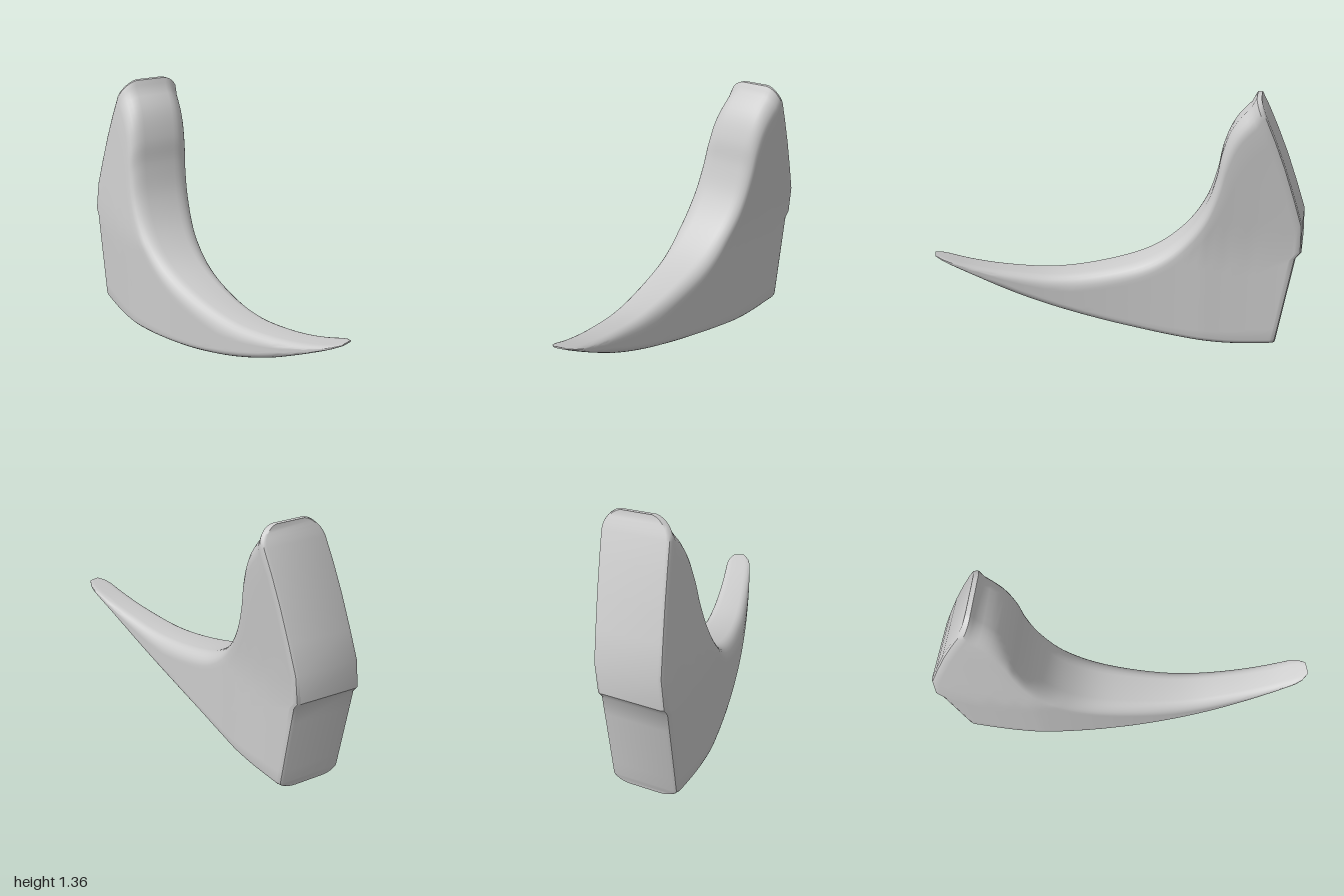
import * as THREE from 'three';
import { toCreasedNormals } from 'three/addons/utils/BufferGeometryUtils.js';

const curve = (pts) => new THREE.CatmullRomCurve3(pts.map(([x, y]) => new THREE.Vector3(x, y, 0)));

// Concave inner edge and convex outer edge, both running from base to tip
const inner = curve([[-0.665, 1.365], [-0.55, 1.22], [-0.497, 1.07], [-0.475, 0.93], [-0.425, 0.76], [-0.325, 0.6],
  [-0.17, 0.475], [0.06, 0.395], [0.35, 0.355], [0.6, 0.375], [0.8, 0.415], [1, 0.478]]);
const outer = curve([[-0.815, 0.02], [-0.74, 0.012], [-0.65, 0.004], [-0.56, 0], [-0.44, 0.005], [-0.28, 0.023],
  [-0.1, 0.053], [0.12, 0.1], [0.37, 0.172], [0.6, 0.26], [0.8, 0.36], [1, 0.47]]);

// Profile of the base wall with its overhanging lip: [height fraction, x]
const wall = [[0, -0.815], [0.388, -0.9], [0.416, -0.943], [0.53, -0.91], [0.73, -0.815], [0.92, -0.715], [1, -0.665]];
function wallBulge(v) {
  let i = 0;
  while (i < wall.length - 2 && v > wall[i + 1][0]) i++;
  const [v0, x0] = wall[i], [v1, x1] = wall[i + 1];
  return x0 + (x1 - x0) * (v - v0) / (v1 - v0) - (-0.815 + 0.15 * v);
}

// Sideways bend of the claw, its thickness along the length, and the backward lean of the head
const centre = (u) => 0.13 + 0.19 * u - 0.1 * u * u;
const halfWidth = (u) => Math.min(0.165, 0.135 - 0.07 * u);
const skew = (u) => 0.2 - 0.2 * u;
const lean = (y) => -0.11 * Math.max(0, y - 0.55);
const crown = (y, t) => 0.03 * t * t * Math.max(0, (y - 1.1) / 0.26);

// Front half of a rounded section, bottom to top: [height fraction, side]
const faceSteps = [0.06, 0.2, 0.3, 0.38, 0.41, 0.53, 0.65, 0.78, 0.9];
function halfSection(height) {
  const low = Math.min(0.04 / height, 0.38), high = Math.min(0.08 / height, 0.38), rt = 0.5, arc = 6;
  const corner = (r) => Array.from({ length: arc + 1 }, (_, i) => {
    const a = i / arc * Math.PI / 2;
    return [r * (1 - Math.cos(a)), 1 - rt + rt * Math.sin(a)];
  });
  const upper = corner(high).map(([v, t]) => [1 - v, t]).reverse();
  return [...corner(low), ...faceSteps.map((f) => [low + (1 - low - high) * f, 1]), ...upper];
}

function clawGeometry() {
  const steps = 60, positions = [], index = [];
  let half = 0, rings = 0;

  const addRing = (s, inset, shift) => {
    const lo = outer.getPoint(s), hi = inner.getPoint(s);
    const front = halfSection(hi.y - lo.y);
    half = front.length;
    const ring = [...front, ...front.map(([v, t]) => [v, -t]).reverse()];
    for (const [v, side] of ring) {
      const u = THREE.MathUtils.lerp(lo.x, hi.x, v) + wallBulge(v) * Math.max(0, 1 - s / 0.45) + shift;
      const y = THREE.MathUtils.lerp(lo.y, hi.y, v);
      const tip = Math.max(0, (u - 0.92) / 0.08);
      const t = side * inset * Math.sqrt(Math.max(0.2, 1 - 0.75 * tip * tip));
      const w = halfWidth(u) * t;
      positions.push(u - skew(u) * w, y - crown(y, t), centre(u) + w + lean(y));
    }
    rings++;
  };

  // Bevelled rim of the base, then the body out to the tip
  addRing(0, 0.88, 0);
  addRing(0, 0.96, 0.006);
  addRing(0, 1, 0.022);
  for (let i = 1; i <= steps; i++) addRing(i / steps, 1, i === 1 ? 0.012 : 0);

  const n = half * 2;
  const quad = (a, b, c, d) => index.push(a, b, c, a, c, d);
  for (let i = 0; i < rings - 1; i++) {
    for (let j = 0; j < n; j++) {
      const k = (j + 1) % n;
      quad(i * n + j, (i + 1) * n + j, (i + 1) * n + k, i * n + k);
    }
  }
  // Base wall and tip caps
  const last = (rings - 1) * n;
  for (let j = 0; j < half - 1; j++) {
    const b = n - 1 - j;
    quad(b, j, j + 1, b - 1);
    quad(last + j, last + b, last + b - 1, last + j + 1);
  }

  const geo = new THREE.BufferGeometry();
  geo.setAttribute('position', new THREE.Float32BufferAttribute(positions, 3));
  geo.setIndex(index);
  return toCreasedNormals(geo, 0.65);
}

export function createModel() {
  const group = new THREE.Group();
  group.name = 'curvedClaw';
  const claw = new THREE.Mesh(clawGeometry(), new THREE.MeshStandardMaterial({ color: 0xcccccc }));
  claw.name = 'claw';
  group.add(claw);
  return group;
}
